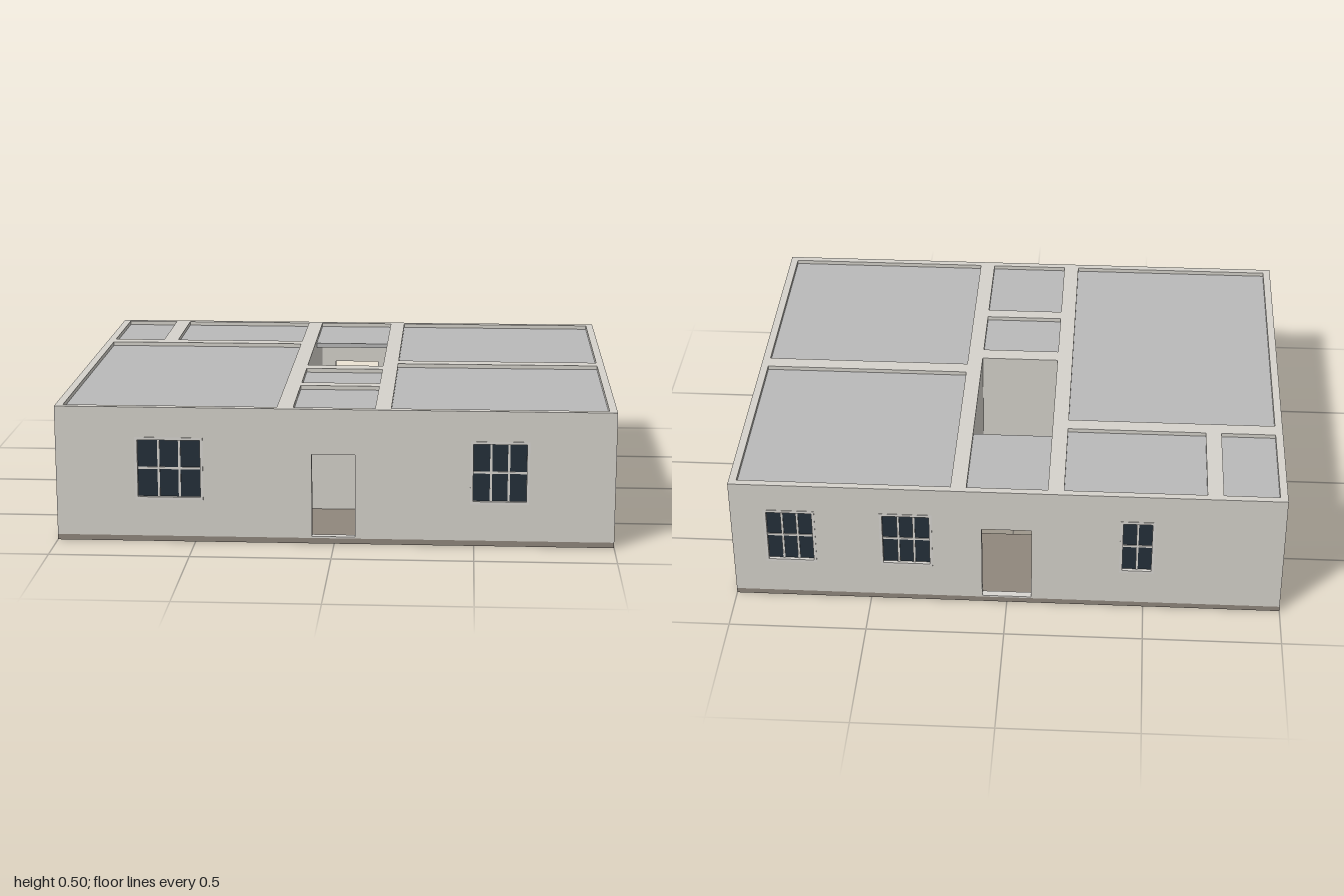
import * as THREE from 'three';

const BASE = 0.02, TOP = 0.495, DOOR_TOP = 0.33;
const mat = (color) => new THREE.MeshStandardMaterial({ color });
const wallMat = mat(0xd6d3cc), slabMat = mat(0x90877d), ceilingMat = mat(0xbababa);
const glassMat = mat(0x25303a), frameMat = mat(0xd9d7d2);

function box(name, material, x0, x1, y0, y1, z0, z1) {
  const mesh = new THREE.Mesh(new THREE.BoxGeometry(x1 - x0, y1 - y0, z1 - z0), material);
  mesh.position.set((x0 + x1) / 2, (y0 + y1) / 2, (z0 + z1) / 2);
  mesh.name = name;
  return mesh;
}

function rectPath(x0, x1, y0, y1, Type = THREE.Path) {
  return new Type([[x0, y0], [x1, y0], [x1, y1], [x0, y1]].map(([x, y]) => new THREE.Vector2(x, y)));
}

// Window with a rim, glass and bars, in the wall's own plane
function makeWindow([u0, u1, v0, v1, cols], t) {
  const g = new THREE.Group();
  g.name = 'window';
  const rim = 0.01, bar = 0.004, a = -0.002, b = t + 0.002;
  const shape = rectPath(u0, u1, v0, v1, THREE.Shape);
  shape.holes.push(rectPath(u0 + rim, u1 - rim, v0 + rim, v1 - rim));
  const frame = new THREE.Mesh(new THREE.ExtrudeGeometry(shape, { depth: b - a, bevelEnabled: false }), frameMat);
  frame.position.z = a;
  frame.name = 'windowFrame';
  g.add(frame);
  g.add(box('windowGlass', glassMat, u0 + rim, u1 - rim, v0 + rim, v1 - rim, t / 2 - 0.003, t / 2 + 0.003));
  for (let i = 1; i < cols; i++) {
    const u = u0 + rim + (u1 - u0 - 2 * rim) * i / cols;
    g.add(box('windowBar', frameMat, u - bar, u + bar, v0 + rim, v1 - rim, t / 2 - 0.007, t / 2 + 0.007));
  }
  const v = (v0 + v1) / 2;
  g.add(box('windowBar', frameMat, u0 + rim, u1 - rim, v - bar, v + bar, t / 2 - 0.0065, t / 2 + 0.0065));
  return g;
}

// Wall along 'x' or 'z' from u0 to u1, between t0 and t1 across, with doors [u0, u1] and windows
function makeWall(name, axis, u0, u1, t0, t1, doors = [], windows = []) {
  const g = new THREE.Group();
  g.name = name;
  const pts = [[u0, TOP], [u0, BASE]];
  for (const [a, b] of doors) pts.push([a, BASE], [a, DOOR_TOP], [b, DOOR_TOP], [b, BASE]);
  pts.push([u1, BASE], [u1, TOP]);
  const shape = new THREE.Shape(pts.map(([x, y]) => new THREE.Vector2(x, y)));
  for (const [a, b, c, d] of windows) shape.holes.push(rectPath(a, b, c, d));
  const t = t1 - t0;
  const panel = new THREE.Mesh(new THREE.ExtrudeGeometry(shape, { depth: t, bevelEnabled: false }), wallMat);
  panel.name = 'wallPanel';
  g.add(panel);
  for (const w of windows) g.add(makeWindow(w, t));
  if (axis === 'x') g.position.z = t0;
  else {
    g.rotation.y = -Math.PI / 2;
    g.position.x = t1;
  }
  return g;
}

export function createModel() {
  const house = new THREE.Group();
  house.name = 'house';
  const X = 1, Z = 0.815, IX = 0.972, IZ = 0.788;
  const W0 = 0.155, W1 = 0.385;

  // Floor slab with the stairwell opening
  const slabShape = rectPath(-X, X, -Z, Z, THREE.Shape);
  slabShape.holes.push(rectPath(-0.145, 0.145, -0.07, 0.43));
  const slab = new THREE.Mesh(new THREE.ExtrudeGeometry(slabShape, { depth: BASE, bevelEnabled: false }), slabMat);
  slab.rotation.x = -Math.PI / 2;
  slab.name = 'floorSlab';
  house.add(slab);

  // Outer walls
  house.add(
    makeWall('frontWall', 'x', -X, X, IZ, Z, [[-0.08, 0.075]],
      [[-0.715, -0.47, W0, W1, 3], [0.485, 0.695, W0, W1, 3]]),
    makeWall('backWall', 'x', -X, X, -Z, -IZ, [[-0.09, 0.09]],
      [[-0.535, -0.41, W0, W1, 2], [0.27, 0.46, W0, W1, 3], [0.695, 0.88, W0, W1, 3]]),
    makeWall('leftWall', 'z', -IZ, IZ, IX, X, [],
      [[-0.485, -0.335, W0, W1, 2], [0.335, 0.49, W0, W1, 2]]),
    makeWall('rightWall', 'z', -IZ, IZ, -X, -IX, [],
      [[-0.65, -0.55, 0.235, W1, 2], [-0.07, 0.085, W0, W1, 2], [0.385, 0.54, W0, W1, 2]]),
  );

  // Inner walls
  const hallDoors = [[-0.71, -0.55], [0.53, 0.68]];
  house.add(
    makeWall('hallWallRight', 'z', -IZ, IZ, -0.205, -0.147, hallDoors),
    makeWall('hallWallLeft', 'z', -IZ, IZ, 0.145, 0.202, hallDoors),
    makeWall('backRoomWall', 'x', -IX, -0.205, -0.398, -0.34),
    makeWall('sideRoomWall', 'x', 0.202, IX, -0.033, 0.025),
    makeWall('stairwellWall', 'x', -0.147, 0.145, 0.07, 0.132),
    makeWall('entryWall', 'x', -0.147, 0.145, 0.38, 0.432),
    makeWall('smallRoomWall', 'z', -IZ, -0.398, -0.773, -0.715, [[-0.68, -0.54]]),
  );

  // Door sills
  house.add(
    box('frontDoorSill', frameMat, -0.08, 0.075, BASE, 0.026, IZ, Z),
    box('backDoorSill', frameMat, -0.09, 0.09, BASE, 0.026, -Z, -IZ),
  );

  // Ceiling panels, set a little below the wall tops
  const rooms = [
    [-IX, -0.773, -IZ, -0.398], [-0.715, -0.205, -IZ, -0.398], [-IX, -0.205, -0.34, IZ],
    [-0.147, 0.145, -IZ, -0.43], [-0.147, 0.145, 0.132, 0.38], [-0.147, 0.145, 0.432, IZ],
    [0.202, IX, -IZ, -0.033], [0.202, IX, 0.025, IZ],
  ];
  for (const [x0, x1, z0, z1] of rooms) {
    house.add(box('ceilingPanel', ceilingMat, x0, x1, 0.463, 0.48, z0, z1));
  }
  return house;
}
